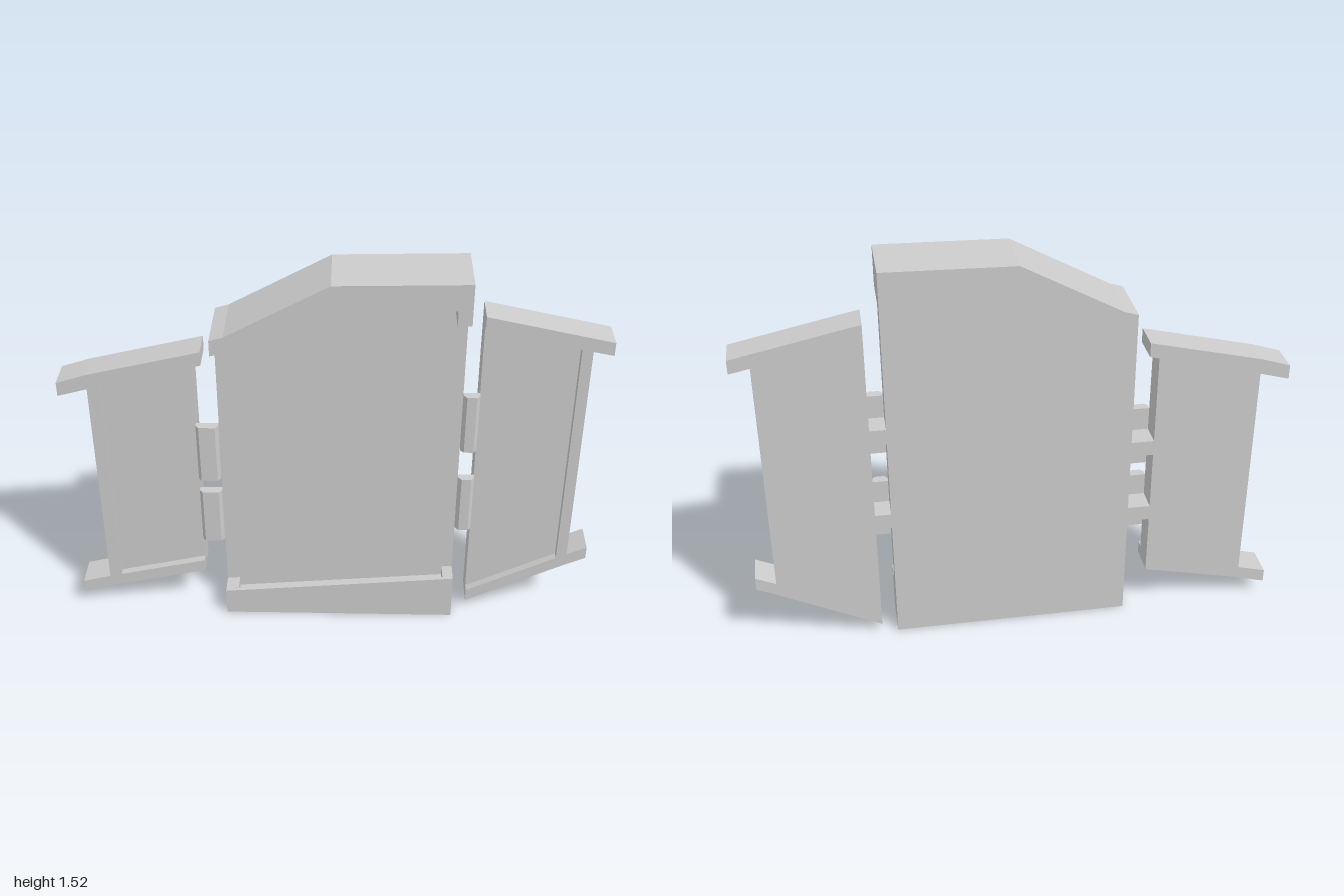
import * as THREE from 'three';

const material = new THREE.MeshStandardMaterial({ color: 0xcccccc, flatShading: true });
const BACK = -0.12, FLOOR = -0.03;

// Extrude an outline in the xy plane between two depths
function slab(name, points, z0, z1) {
  const shape = new THREE.Shape(points.map(([x, y]) => new THREE.Vector2(x, y)));
  const geometry = new THREE.ExtrudeGeometry(shape, { depth: z1 - z0, bevelEnabled: false });
  geometry.translate(0, 0, z0);
  const mesh = new THREE.Mesh(geometry, material);
  mesh.name = name;
  return mesh;
}

// Hinge: chamfered front leaf plus a slim bar bridging the gap behind it
function hinge(x0, x1, y0, y1) {
  const group = new THREE.Group();
  group.name = 'hinge';
  const c = 0.012;
  const section = new THREE.Shape([
    [x0, FLOOR], [x1, FLOOR], [x1, -0.01], [x1 - c, 0.005], [x0 + c, 0.005], [x0, -0.01],
  ].map(([x, z]) => new THREE.Vector2(x, -z)));
  const geometry = new THREE.ExtrudeGeometry(section, { depth: y1 - y0, bevelEnabled: false });
  geometry.rotateX(-Math.PI / 2).translate(0, y0, 0);
  // the section is drawn with -z as its second axis, so the rotation restores z
  const leaf = new THREE.Mesh(geometry, material);
  leaf.name = 'hingeLeaf';
  const mid = (y0 + y1) / 2;
  const bar = slab('hingeBar', [[x0, mid - 0.03], [x1, mid - 0.03], [x1, mid + 0.03], [x0, mid + 0.03]], BACK, FLOOR);
  group.add(leaf, bar);
  return group;
}

// Side wing: recessed panel, sloping top and bottom rails, outer upright
function wing(name, { panel, top, bottom, upright }) {
  const group = new THREE.Group();
  group.name = name;
  group.add(
    slab('wingPanel', panel, BACK, FLOOR),
    slab('topRail', top, BACK, 0),
    slab('bottomRail', bottom, BACK, 0),
    slab('outerUpright', upright, BACK, 0),
  );
  return group;
}

export function createModel() {
  const model = new THREE.Group();
  model.name = 'hingedTriptychPanel';

  // Centre panel
  const roof = [[0.48, 1.52], [0, 1.51], [-0.37, 1.31], [-0.42, 1.295]];
  model.add(slab('centrePanel', [[-0.42, 0], [0.48, 0], ...roof], BACK, FLOOR));

  // Overhanging canopy with a short lip at each end
  model.add(slab('canopy', [
    [-0.42, 1.235], [-0.38, 1.245], [-0.38, 1.27], [0, 1.41],
    [0.43, 1.42], [0.43, 1.36], [0.48, 1.365], ...roof,
  ], FLOOR, 0.12));

  // Plinth with a shallow trough behind a thin front rim
  const plinth = [[-0.42, 0], [0.48, 0], [0.48, 0.19]];
  model.add(slab('plinthRim', [...plinth, [-0.42, 0.11]], 0.035, 0.05));
  model.add(slab('plinth', [
    ...plinth, [0.44, 0.186], [0.44, 0.146], [-0.37, 0.075], [-0.37, 0.115], [-0.42, 0.11],
  ], FLOOR, 0.035));

  // Left wing (+x)
  model.add(wing('leftWing', {
    panel: [[0.54, 0.06], [0.9, 0.24], [0.9, 1.23], [0.54, 1.31]],
    top: [[0.54, 1.28], [0.925, 1.2], [1, 1.185], [1, 1.237], [0.54, 1.335]],
    bottom: [[0.54, 0.037], [0.92, 0.228], [1, 0.265], [1, 0.317], [0.925, 0.282], [0.885, 0.262], [0.54, 0.09]],
    upright: [[0.885, 0.24], [0.925, 0.26], [0.925, 1.22], [0.885, 1.23]],
  }));

  // Right wing (-x)
  model.add(wing('rightWing', {
    panel: [[-0.87, 0.11], [-0.505, 0.2], [-0.505, 1.14], [-0.87, 1.05]],
    top: [[-1, 0.99], [-0.89, 1.02], [-0.47, 1.125], [-0.47, 1.18], [-0.89, 1.08], [-1, 1.045]],
    bottom: [[-1, 0.055], [-0.89, 0.087], [-0.505, 0.175], [-0.505, 0.225], [-0.89, 0.137], [-1, 0.108]],
    upright: [[-0.89, 0.11], [-0.843, 0.12], [-0.843, 1.05], [-0.89, 1.04]],
  }));

  // Two hinges on each side
  for (const [y0, y1] of [[0.4, 0.64], [0.765, 1.005]]) model.add(hinge(0.48, 0.54, y0, y1));
  for (const [y0, y1] of [[0.33, 0.565], [0.62, 0.86]]) model.add(hinge(-0.505, -0.42, y0, y1));

  return model;
}
